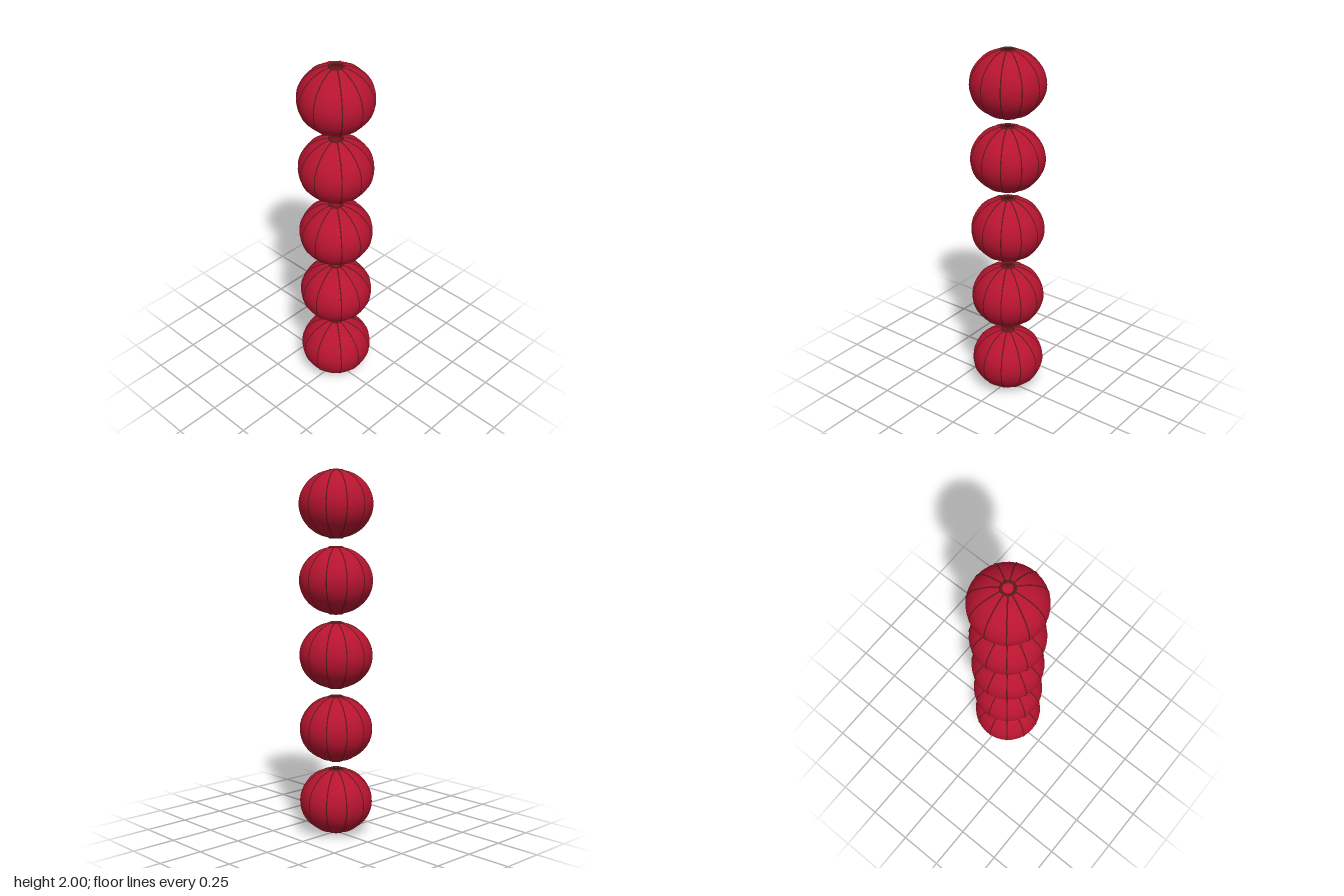
import * as THREE from 'three';

const COUNT = 5, HEIGHT = 0.367, PITCH = (2 - HEIGHT) / (COUNT - 1);
const RADIUS = 0.2, HALF = 0.18, MOUTH = 0.034, SEGMENTS = 34;

const shadeMat = new THREE.MeshStandardMaterial({ color: 0xb81430, side: THREE.DoubleSide });
const ribMat = new THREE.MeshStandardMaterial({ color: 0x5c1a1a });

// Half-ellipse from lower mouth to upper mouth
function profile(radius, half, steps) {
  const limit = Math.acos(MOUTH / RADIUS);
  return Array.from({ length: steps + 1 }, (_, i) => {
    const a = -limit + (2 * limit * i) / steps;
    return new THREE.Vector2(radius * Math.cos(a), half * Math.sin(a));
  });
}

const shadeGeo = new THREE.LatheGeometry(profile(RADIUS, HALF, 28), SEGMENTS);
const ribCurve = new THREE.CatmullRomCurve3(
  profile(RADIUS - 0.002, HALF - 0.001, 14).map(p => new THREE.Vector3(0, p.y, p.x)));
const ribGeo = new THREE.TubeGeometry(ribCurve, 28, 0.004, 6, false);
const ringGeo = new THREE.TorusGeometry(MOUTH, 0.007, 10, 32).rotateX(Math.PI / 2);

function add(parent, name, geometry, material) {
  const mesh = new THREE.Mesh(geometry, material);
  mesh.name = name;
  parent.add(mesh);
  return mesh;
}

function createLantern() {
  const lantern = new THREE.Group();
  lantern.name = 'lantern';
  add(lantern, 'shade', shadeGeo, shadeMat);

  // Eleven ribs on every third seam, leaving one wider panel near the front
  for (let i = 0; i < 11; i++) {
    const seam = -18 + 3 * i;
    add(lantern, 'rib', ribGeo, ribMat).rotation.y = Math.PI - (seam * 2 * Math.PI) / SEGMENTS;
  }

  // Rings around the open mouths
  for (const side of [-1, 1]) {
    const ring = add(lantern, side > 0 ? 'topRing' : 'bottomRing', ringGeo, ribMat);
    ring.position.y = side * (HEIGHT / 2 - 0.007);
  }
  return lantern;
}

export function createModel() {
  const model = new THREE.Group();
  model.name = 'lanternString';
  for (let i = 0; i < COUNT; i++) {
    const lantern = createLantern();
    lantern.position.y = HEIGHT / 2 + i * PITCH;
    model.add(lantern);
  }
  return model;
}
